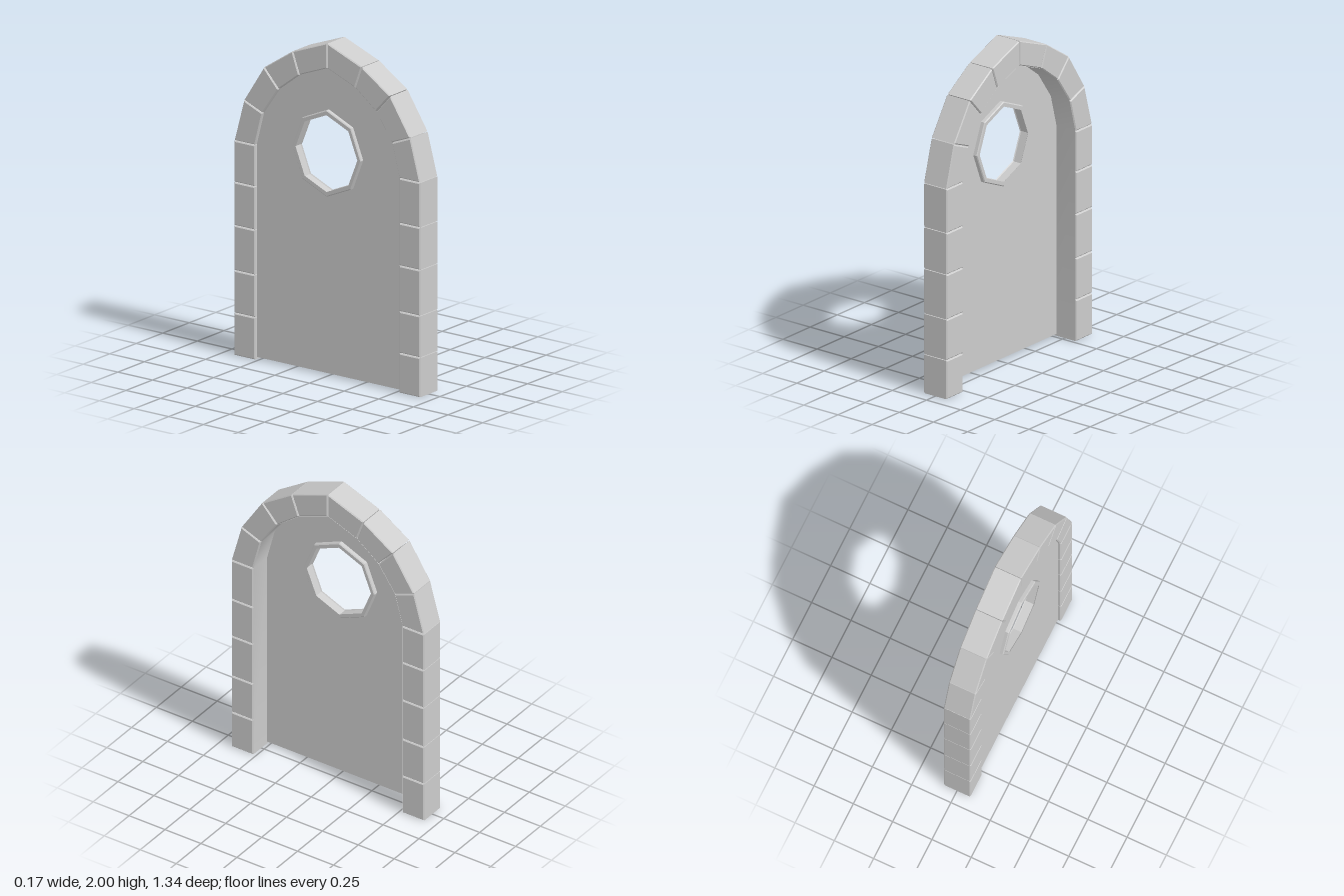
import * as THREE from 'three';
import { toCreasedNormals } from 'three/addons/utils/BufferGeometryUtils.js';

const material = new THREE.MeshStandardMaterial({ color: 0xcccccc, side: THREE.DoubleSide });
const V = (z, y) => new THREE.Vector2(z, y);

// Arch corners for one side as [z, y], from the spring line to the apex
const outer = [[0.67, 1.29], [0.6, 1.545], [0.455, 1.77], [0.25, 1.905], [0, 2]].map(p => V(...p));
const inner = [[0.52, 1.29], [0.467, 1.492], [0.352, 1.657], [0.202, 1.772], [0, 1.85]].map(p => V(...p));
const windowY = 1.34;

// Extrudes a z-y shape along x, from xMin to xMax, with an optional chamfer inside its size
function slab(name, shape, xMin, xMax, bevel = 0) {
  const geometry = new THREE.ExtrudeGeometry(shape, {
    depth: xMax - xMin - 2 * bevel, bevelEnabled: bevel > 0, bevelThickness: bevel,
    bevelSize: bevel, bevelOffset: -bevel, bevelSegments: 1,
  });
  geometry.translate(0, 0, bevel - (xMax - xMin));
  geometry.rotateY(-Math.PI / 2);
  geometry.translate(xMin, 0, 0);
  const mesh = new THREE.Mesh(geometry, material);
  mesh.name = name;
  return mesh;
}

// One chamfered stone between two joints, each joint running from the outer to the inner edge
function stone(name, o0, i0, o1, i1, side) {
  const gap = 0.002;
  const pull = (a, b) => a.clone().add(b.clone().sub(a).setLength(gap));
  const corners = [pull(o0, o1), pull(o1, o0), pull(i1, i0), pull(i0, i1)].map(p => V(p.x * side, p.y));
  return slab(name, new THREE.Shape(corners), -0.085, 0.085, 0.006);
}

// Octagon with a corner at the top
function octagon(rz, ry) {
  return Array.from({ length: 8 }, (_, i) => {
    const a = i * Math.PI / 4;
    return V(rz * Math.sin(a), windowY + ry * Math.cos(a));
  });
}

export function createModel() {
  const group = new THREE.Group();

  // Post stones and arch stones on both sides
  const joints = { 1: [0, 0.24, 0.49, 0.765, 1.02, 1.29], [-1]: [0, 0.255, 0.51, 0.78, 1.04, 1.29] };
  for (const side of [1, -1]) {
    const ys = joints[side];
    for (let i = 0; i < 5; i++) {
      group.add(stone('postStone', V(0.67, ys[i]), V(0.52, ys[i]), V(0.67, ys[i + 1]), V(0.52, ys[i + 1]), side));
    }
    for (let i = 0; i < 4; i++) {
      group.add(stone('archStone', outer[i], inner[i], outer[i + 1], inner[i + 1], side));
    }
  }

  // Outline of the opening, up one side and down the other
  const half = [V(0.52, 0.015), ...inner];
  const outline = [...half, ...half.slice(0, -1).reverse().map(p => V(-p.x, p.y))];

  // Thin recessed panel with the window cut out
  const panelShape = new THREE.Shape(outline);
  panelShape.holes.push(new THREE.Path(octagon(0.238, 0.25)));
  group.add(slab('panel', panelShape, -0.067, -0.057));

  // Smooth lining that covers the inner faces of the stones in front of the panel
  const positions = [], index = [];
  outline.forEach((p, i) => {
    const z = p.x * 0.997, y = p.y - (p.y > 1.3 ? 0.002 : 0);
    positions.push(-0.06, y, z, 0.079, y, z);
    if (i > 0) {
      const k = 2 * i;
      index.push(k - 2, k, k - 1, k - 1, k, k + 1);
    }
  });
  let lining = new THREE.BufferGeometry();
  lining.setAttribute('position', new THREE.Float32BufferAttribute(positions, 3));
  lining.setIndex(index);
  // Wind the strip so that it faces into the opening
  const a = new THREE.Vector3().fromArray(positions, 0);
  const b = new THREE.Vector3().fromArray(positions, 6);
  const c = new THREE.Vector3().fromArray(positions, 3);
  if (b.sub(a).cross(c.sub(a)).z > 0) lining.setIndex(index.reverse());
  lining = toCreasedNormals(lining, 0.5);
  const liningMesh = new THREE.Mesh(lining, material);
  liningMesh.name = 'lining';
  group.add(liningMesh);

  // Octagonal window frame
  const frameShape = new THREE.Shape(octagon(0.248, 0.26));
  frameShape.holes.push(new THREE.Path(octagon(0.228, 0.236)));
  group.add(slab('windowFrame', frameShape, -0.09, -0.03, 0.005));

  return group;
}
